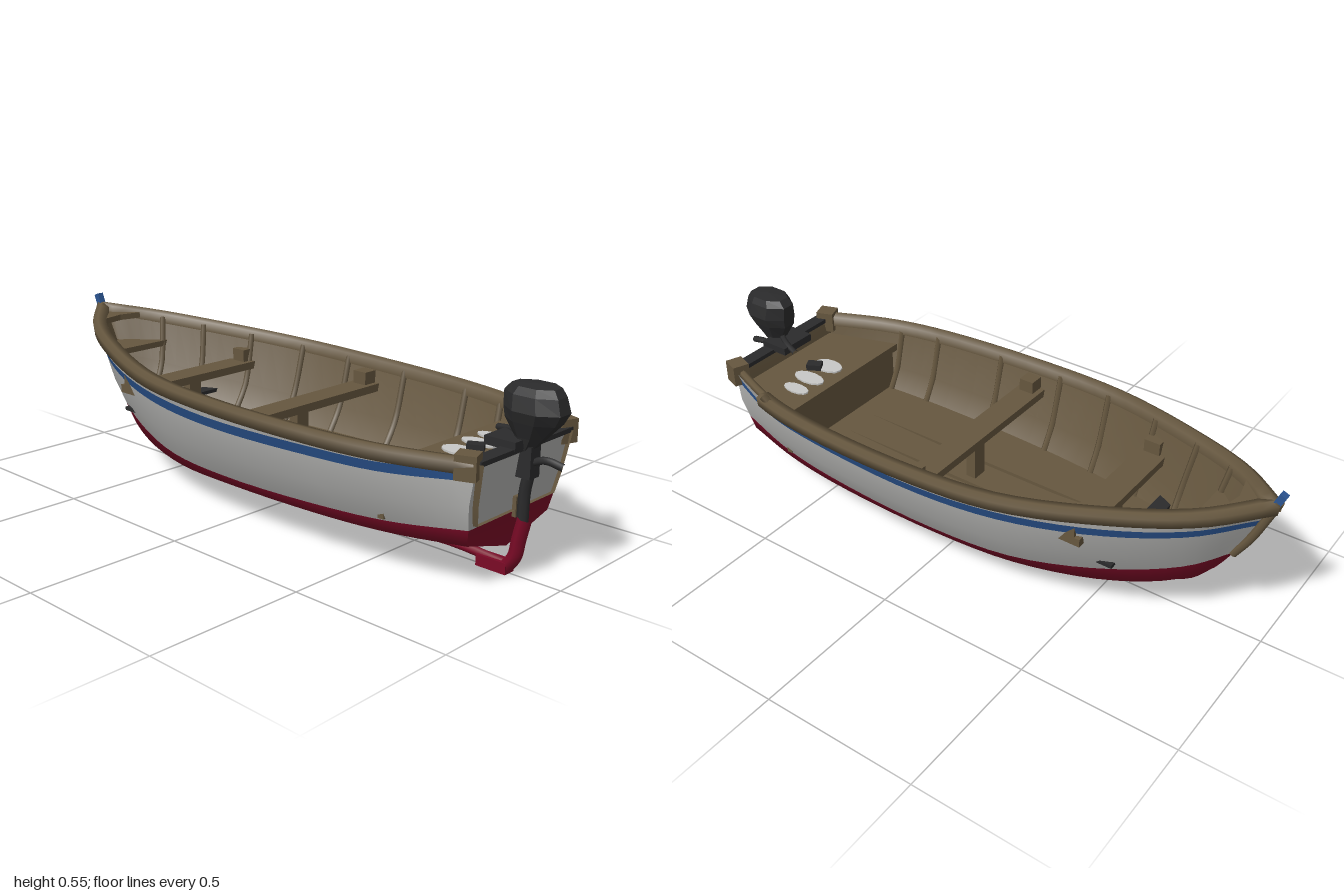
import * as THREE from 'three';

const V = (x, y, z) => new THREE.Vector3(x, y, z);
const paint = (name, color) => {
  const m = new THREE.MeshStandardMaterial({ color });
  m.name = name;
  return m;
};

export function createModel() {
  const boat = new THREE.Group();
  boat.name = 'motorBoat';
  const wood = paint('weathered wood', 0x66573f);
  const white = paint('hull white', 0xb2b2b0);
  const red = paint('bottom red', 0x7a0a26);
  const blue = paint('stripe blue', 0x2b5592);
  const dark = paint('motor charcoal', 0x2b2b2c);
  const pale = paint('cloth white', 0xc8c8c6);
  wood.side = THREE.DoubleSide;

  const add = (name, geometry, material, x = 0, y = 0, z = 0) => {
    const m = new THREE.Mesh(geometry, material);
    m.name = name;
    m.position.set(x, y, z);
    boat.add(m);
    return m;
  };
  const box = (name, mat, w, h, d, x, y, z) => add(name, new THREE.BoxGeometry(w, h, d), mat, x, y, z);
  const tube = (name, mat, pts, r, seg = 12, sides = 7) =>
    add(name, new THREE.TubeGeometry(new THREE.CatmullRomCurve3(pts), seg, r, sides), mat);

  // Skin through rows of points; columns run along +x, rows run upward
  function skin(name, mat, rows, { flip = false, flat = false } = {}) {
    const n = rows[0].length, index = [];
    for (let r = 0; r < rows.length - 1; r++) {
      for (let c = 0; c < n - 1; c++) {
        const a = r * n + c, b = a + 1, d = a + n, e = d + 1;
        if (flip) index.push(a, d, b, b, d, e);
        else index.push(a, b, d, b, e, d);
      }
    }
    let g = new THREE.BufferGeometry().setFromPoints(rows.flat());
    g.setIndex(index);
    if (flat) g = g.toNonIndexed();
    g.computeVertexNormals();
    return add(name, g, mat);
  }
  // The same skin on both sides of the boat
  function bothSides(name, mat, rows, flip = false) {
    skin(name + 'Left', mat, rows, { flip });
    skin(name + 'Right', mat, rows.map(r => r.map(p => V(p.x, p.y, -p.z))), { flip: !flip });
  }

  // Hull lines from stem to transom
  const N = 32;
  const line = pts => new THREE.CatmullRomCurve3(pts.map(p => V(...p))).getPoints(N)
    .map(p => V(p.x, p.y, Math.max(0, p.z)));
  const keel = line([[-.83, .2, 0], [-.75, .115, 0], [-.58, .052, 0], [-.3, .033, 0],
    [0, .025, 0], [.4, .035, 0], [.62, .055, 0], [.82, .08, 0]]);
  const chine = line([[-.85, .23, 0], [-.76, .165, .06], [-.58, .12, .14], [-.3, .105, .225],
    [0, .115, .265], [.4, .12, .26], [.62, .125, .235], [.825, .135, .19]]);
  const water = line([[-.88, .28, 0], [-.78, .235, .08], [-.58, .185, .17], [-.3, .15, .253],
    [0, .145, .282], [.4, .155, .275], [.62, .165, .25], [.835, .185, .2]]);
  const stripeTop = line([[-.945, .425, 0], [-.8, .405, .135], [-.58, .38, .245], [-.3, .362, .33],
    [0, .35, .36], [.4, .35, .345], [.62, .35, .31], [.86, .358, .22]]);
  const gunwale = line([[-.98, .49, 0], [-.82, .462, .138], [-.6, .436, .246], [-.3, .41, .343],
    [0, .397, .37], [.4, .388, .356], [.62, .383, .318], [.865, .378, .226]]);
  const blend = (a, b, t, swell = 1) => a.map((p, i) => {
    const q = p.clone().lerp(b[i], t);
    q.z *= swell;
    return q;
  });
  const stripeLow = blend(stripeTop, water, .16);
  const mid = blend(water, stripeLow, .5, 1.045);

  // Painted outer hull
  bothSides('hullBottom', red, [keel, chine, water]);
  bothSides('hullSide', white, [water, mid, stripeLow]);
  bothSides('hullStripe', blue, [stripeLow, stripeTop]);
  bothSides('upperHull', white, [stripeTop, gunwale]);

  // Inner lining and floor
  const inset = (row, d, up = 0) => row.map(p => V(p.x + .015, p.y + up, Math.max(0, p.z - d)));
  const floorEdge = inset(water, .02, .01);
  const floorMid = floorEdge.map(p => V(p.x, p.y, 0));
  const innerMid = inset(mid, .022);
  const innerTop = inset(gunwale, .018);
  bothSides('floor', wood, [floorMid, floorEdge], true);
  bothSides('lining', wood, [floorEdge, innerMid, innerTop], true);

  // Transom, red below the waterline and white above
  const end = r => r[N];
  const across = (rows, dx = 0) => rows.map(r => {
    const p = end(r);
    return [V(p.x + dx, p.y, p.z), V(p.x + dx, p.y, 0)];
  });
  bothSides('transomBottom', red, across([keel, chine, water]));
  bothSides('transom', white, across([water, mid, stripeLow, stripeTop, gunwale]));
  bothSides('transomInside', wood, across([water, mid, stripeLow, gunwale], -.03), true);
  box('transomCap', dark, .045, .014, .43, .85, .378, -.005);

  // Gunwale rail: a rectangular section swept along the top edge
  const rail = (o, h) => gunwale.map((p, i) => {
    const t = gunwale[Math.min(N, i + 1)].clone().sub(gunwale[Math.max(0, i - 1)]).setY(0).normalize();
    return V(p.x - t.z * o, p.y + h, Math.max(0, p.z + t.x * o));
  });
  const railRows = [rail(-.03, -.022), rail(.012, -.024), rail(.016, .008), rail(-.002, .018),
    rail(-.03, .012), rail(-.03, -.022)];
  skin('gunwaleLeft', wood, railRows);
  // The right rail stops short of the stern, leaving a low rim
  const cut = gunwale.findIndex(p => p.x > .62) + 1;
  const mirrored = railRows.map(r => r.slice(0, cut).map(p => V(p.x, p.y, -p.z)));
  skin('gunwaleRight', wood, mirrored, { flip: true });
  tube('gunwaleBreak', wood, [V(.6, .385, -.318), V(.62, .41, -.325)], .014, 2, 5);
  tube('sternRimRight', wood, gunwale.slice(cut - 1).map(p => V(p.x, p.y - .004, -p.z + .02)), .013);
  for (const s of [1, -1]) {
    const post = box('sternCornerPost', wood, .06, .07, .055, .84, .372, s * .222);
    post.rotation.y = s * .35;
  }

  // Stem post with painted tip
  tube('stemPost', wood, [V(-.985, .505, 0), V(-.955, .43, 0), V(-.92, .35, 0), V(-.875, .275, 0)], .014);
  const tip = box('bowTip', blue, .022, .04, .022, -.987, .515, 0);
  tip.rotation.z = .4;

  // Keel bar and skeg under the stern
  tube('keelBar', red, [V(-.6, .052, 0), V(-.3, .035, 0), V(0, .027, 0), V(.4, .03, 0),
    V(.65, .038, 0), V(.82, .026, 0)], .014, 30);
  box('skegFoot', red, .1, .034, .042, .785, .019, 0);
  tube('rudderPost', red, [V(.825, .022, 0), V(.85, .06, 0), V(.86, .11, 0), V(.875, .175, 0)], .021);

  // Ribs up the inside
  for (const i of [5, 8, 11, 14, 17, 20, 23, 26]) {
    for (const s of [1, -1]) {
      const pts = [floorEdge, innerMid, innerTop].map(r => V(r[i].x, r[i].y, s * (r[i].z - .004)));
      tube('rib', wood, pts, .011, 6, 5);
    }
  }

  // Thwarts with supports
  for (const [x, w, half] of [[.025, .085, .335], [-.485, .09, .268]]) {
    box('thwart', wood, w, .026, half * 2, x, .32, 0);
    box('thwartPost', wood, .035, .16, .05, x, .235, 0);
    for (const s of [1, -1]) box('thwartKnee', wood, w * .6, .05, .05, x, .35, s * (half - .025));
  }
  box('bowLocker', dark, .05, .012, .4, -.575, .222, 0);

  // Flat boards cut to the plan of the hull
  function board(name, pts, y, t) {
    const g = new THREE.ExtrudeGeometry(new THREE.Shape(pts.map(p => new THREE.Vector2(...p))),
      { depth: t, bevelEnabled: false });
    g.rotateX(-Math.PI / 2);
    add(name, g, wood, 0, y, 0);
  }
  board('sternSeat', [[.58, -.29], [.84, -.205], [.84, .205], [.58, .29]], .3, .025);
  box('sternSeatFront', wood, .02, .13, .53, .59, .235, 0);
  board('breasthook', [[-.95, 0], [-.85, -.09], [-.87, 0], [-.85, .09]], .455, .02);
  board('bowShelf', [[-.9, 0], [-.76, -.125], [-.76, .125]], .36, .02);
  for (const z of [-.12, 0, .12]) box('floorBoard', wood, .94, .012, .1, .1, .163, z);

  // Cloths on the stern seat
  for (const [x, z, rx, rz] of [[.66, -.14, .05, .024], [.67, -.065, .06, .03], [.67, .03, .055, .036]]) {
    const cloth = add('cloth', new THREE.CylinderGeometry(1, 1, .006, 12), pale, x, .329, z);
    cloth.scale.set(rx, 1, rz);
  }
  box('fuelFitting', dark, .05, .02, .035, .7, .338, -.005).rotation.y = .5;

  // Outboard motor: cowl rings are height, centre x, half length, half width
  const rings = [[.37, .868, .02, .022], [.41, .878, .045, .034], [.455, .885, .078, .052],
    [.487, .892, .088, .063], [.53, .885, .083, .054], [.552, .888, .066, .045], [.556, .888, 0, 0]];
  const cowl = rings.map(([y, cx, hx, hz]) => Array.from({ length: 9 }, (_, i) => {
    const a = Math.PI / 8 + i * Math.PI / 4;
    return V(cx + hx * 1.08 * Math.sin(a), y, hz * 1.08 * Math.cos(a));
  }));
  skin('motorCowl', dark, cowl, { flat: true });
  tube('motorLeg', dark, [V(.872, .4, 0), V(.882, .33, 0), V(.87, .25, 0), V(.868, .165, 0)], .017);
  box('motorBracket', dark, .05, .09, .045, .872, .34, 0);
  box('motorClamp', dark, .1, .025, .13, .825, .392, 0);
  tube('motorHandle', dark, [V(.88, .335, 0), V(.93, .352, 0), V(.985, .345, 0)], .011);
  tube('tiller', dark, [V(.85, .41, 0), V(.8, .405, -.03), V(.74, .395, -.05)], .01);
  box('legPatch', wood, .012, .06, .05, .847, .205, -.012);

  return boat;
}
